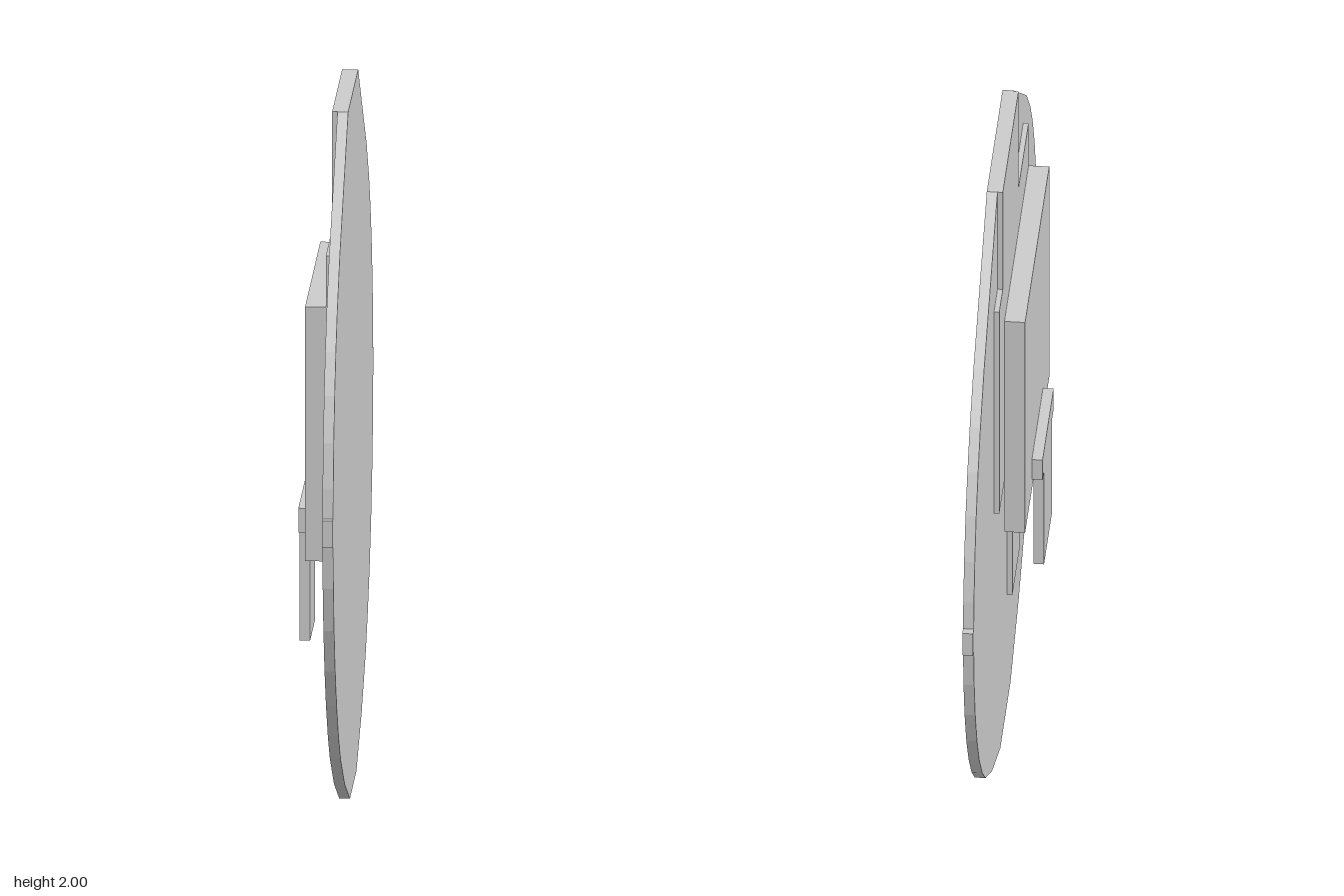
import * as THREE from 'three';

const material = new THREE.MeshStandardMaterial({ color: 0xcccccc, flatShading: true });

// Flat slab from a (z, y) outline, spanning xMin..xMax
function slab(name, outline, xMin, xMax) {
  const shape = new THREE.Shape(outline.map(([z, y]) => new THREE.Vector2(z, y)));
  const geometry = new THREE.ExtrudeGeometry(shape, { depth: xMax - xMin, bevelEnabled: false });
  geometry.rotateY(-Math.PI / 2).translate(xMax, 0, 0);
  const mesh = new THREE.Mesh(geometry, material);
  mesh.name = name;
  return mesh;
}

const rect = (z0, z1, y0, y1) => [[z0, y0], [z1, y0], [z1, y1], [z0, y1]];

// Round plate with flat top and bottom and a small tab on each side
function plateOutline() {
  const radius = 0.957, centreY = 0.973;
  const arc = (angles) => angles.map((deg) => {
    const a = THREE.MathUtils.degToRad(deg);
    return [radius * Math.cos(a), centreY + radius * Math.sin(a)];
  });
  const half = [
    [0.155, 0],
    ...arc([-65, -51, -43, -34.5, -26.5, -18, -10, -2.3]),
    [0.978, 0.935], [0.978, 1.011],
    ...arc([2.3, 7.5, 15, 23, 30.5, 38, 48]),
    [0.238, 2],
  ];
  return [...half, ...half.map(([z, y]) => [-z, y]).reverse()];
}

export function createModel() {
  const group = new THREE.Group();
  group.name = 'layeredPlate';

  group.add(slab('roundPlate', plateOutline(), 0.035, 0.065));

  // Thin stepped layer: neck at the top, wide middle, narrow stem below
  group.add(slab('steppedLayer', [
    [0.05, 0.383], [0.27, 0.383], [0.27, 0.96], [0.54, 0.96], [0.54, 1.662], [0.235, 1.662],
    [0.235, 2], [-0.238, 2], [-0.238, 1.662], [-0.345, 1.662], [-0.345, 0.96], [0.05, 0.96],
  ], 0.02, 0.035));

  group.add(slab('thickBlock', rect(-0.19, 0.54, 0.782, 1.515), -0.038, 0.02));

  // T-shaped outer piece hanging below the block
  group.add(slab('outerTee', [
    [0.058, 0.49], [0.295, 0.49], [0.295, 0.815], [0.35, 0.815],
    [0.35, 0.885], [0.015, 0.885], [0.015, 0.815], [0.058, 0.815],
  ], -0.068, -0.038));

  return group;
}
